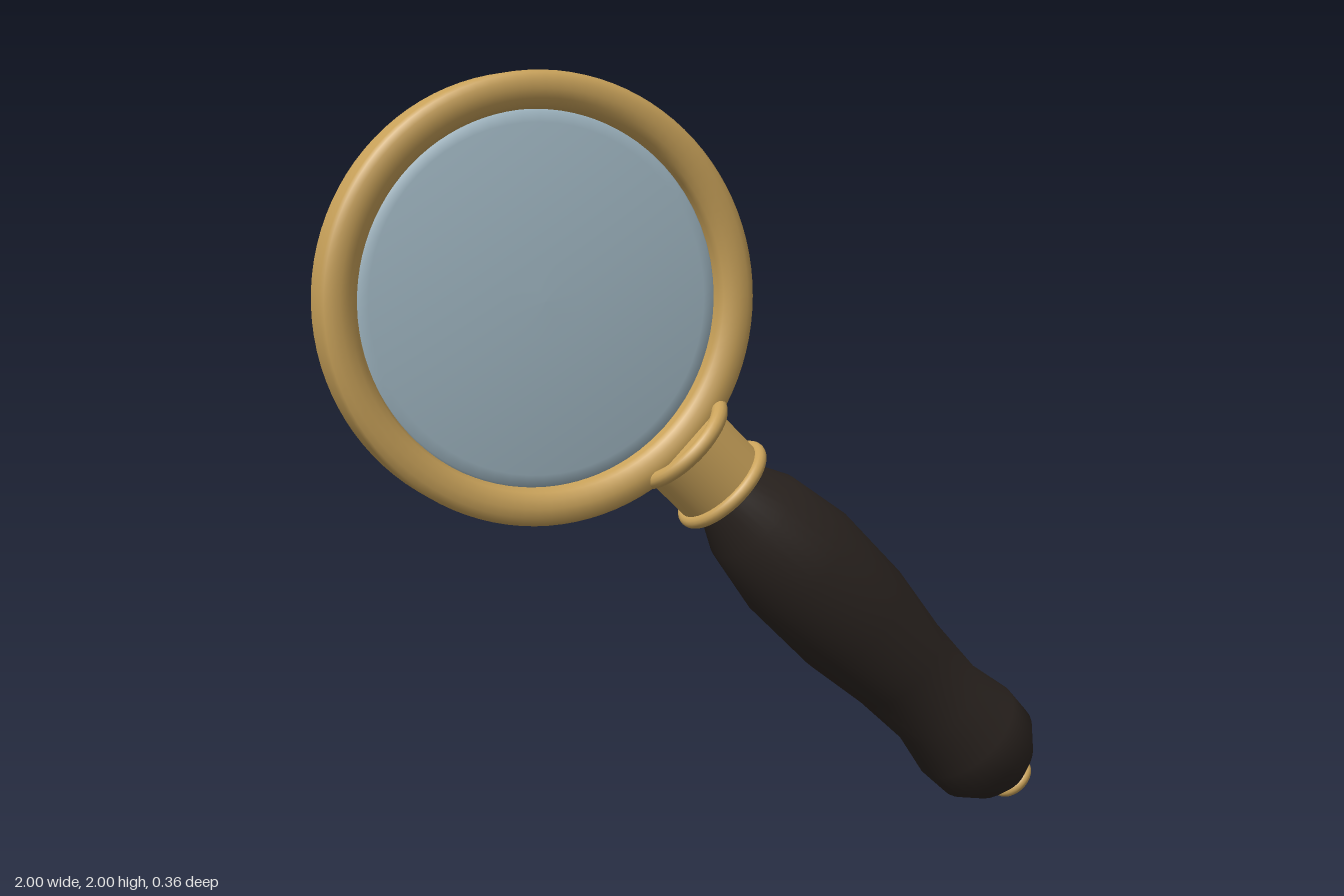
import * as THREE from 'three';

const brass = new THREE.MeshStandardMaterial({ color: 0xc9a25a });
const wood = new THREE.MeshStandardMaterial({ color: 0x2b2420 });
const glass = new THREE.MeshStandardMaterial({ color: 0xa3bac6 });

const points = (list) => list.map(([r, y]) => new THREE.Vector2(r, y));

function add(parent, name, geometry, material) {
  const mesh = new THREE.Mesh(geometry, material);
  mesh.name = name;
  parent.add(mesh);
  return mesh;
}

export function createModel() {
  const model = new THREE.Group();
  model.name = 'magnifyingGlass';

  // Everything is built round the lens centre, with the handle along local -y
  const tool = new THREE.Group();
  tool.name = 'tool';
  tool.position.set(-0.446, 1.447, 0);
  tool.rotation.z = Math.PI / 4;
  model.add(tool);

  // Lens rim: closed rounded section turned round the z axis
  const half = [[0.553, 0.046], [0.546, 0.058], [0.53, 0.066], [0.508, 0.068], [0.486, 0.062], [0.47, 0.05], [0.462, 0.034]];
  const back = half.map(([r, y]) => [r, -y]);
  const section = [...back.reverse(), ...half, back[0]];
  const rim = add(tool, 'lensRim', new THREE.LatheGeometry(points(section), 96), brass);
  rim.rotation.x = Math.PI / 2;

  // Lens: thin disc, gently domed on both sides
  const arc = [];
  for (let i = 0; i <= 16; i++) {
    const t = (i / 8 - 1) * Math.PI / 2;
    const r = 0.466 * Math.cos(t);
    arc.push([Math.max(r, 0), Math.sign(t) * (0.012 + 0.03 * (1 - (r / 0.466) ** 2))]);
  }
  const lens = add(tool, 'lens', new THREE.LatheGeometry(points(arc), 64), glass);
  lens.rotation.x = Math.PI / 2;

  // Collar between rim and handle, with a bead at each end
  add(tool, 'collar', new THREE.CylinderGeometry(0.126, 0.126, 0.18, 40), brass).position.y = -0.605;
  for (const [name, y, radius, tube] of [['upperBead', -0.52, 0.136, 0.021], ['lowerBead', -0.69, 0.127, 0.018]]) {
    const bead = add(tool, name, new THREE.TorusGeometry(radius, tube, 14, 48), brass);
    bead.rotation.x = Math.PI / 2;
    bead.position.y = y;
  }

  // Turned handle, from the pommel up to the collar
  const grip = [
    [0, -1.972], [0.06, -1.957], [0.115, -1.912], [0.162, -1.84], [0.167, -1.745],
    [0.142, -1.615], [0.15, -1.44], [0.176, -1.24], [0.178, -1.0], [0.145, -0.815],
    [0.097, -0.715], [0.09, -0.66],
  ];
  add(tool, 'handle', new THREE.LatheGeometry(points(grip), 32), wood);

  // Flattened end button
  const button = add(tool, 'endButton', new THREE.SphereGeometry(0.065, 28, 16), brass);
  button.scale.y = 0.46;
  button.position.y = -1.969;

  return model;
}
